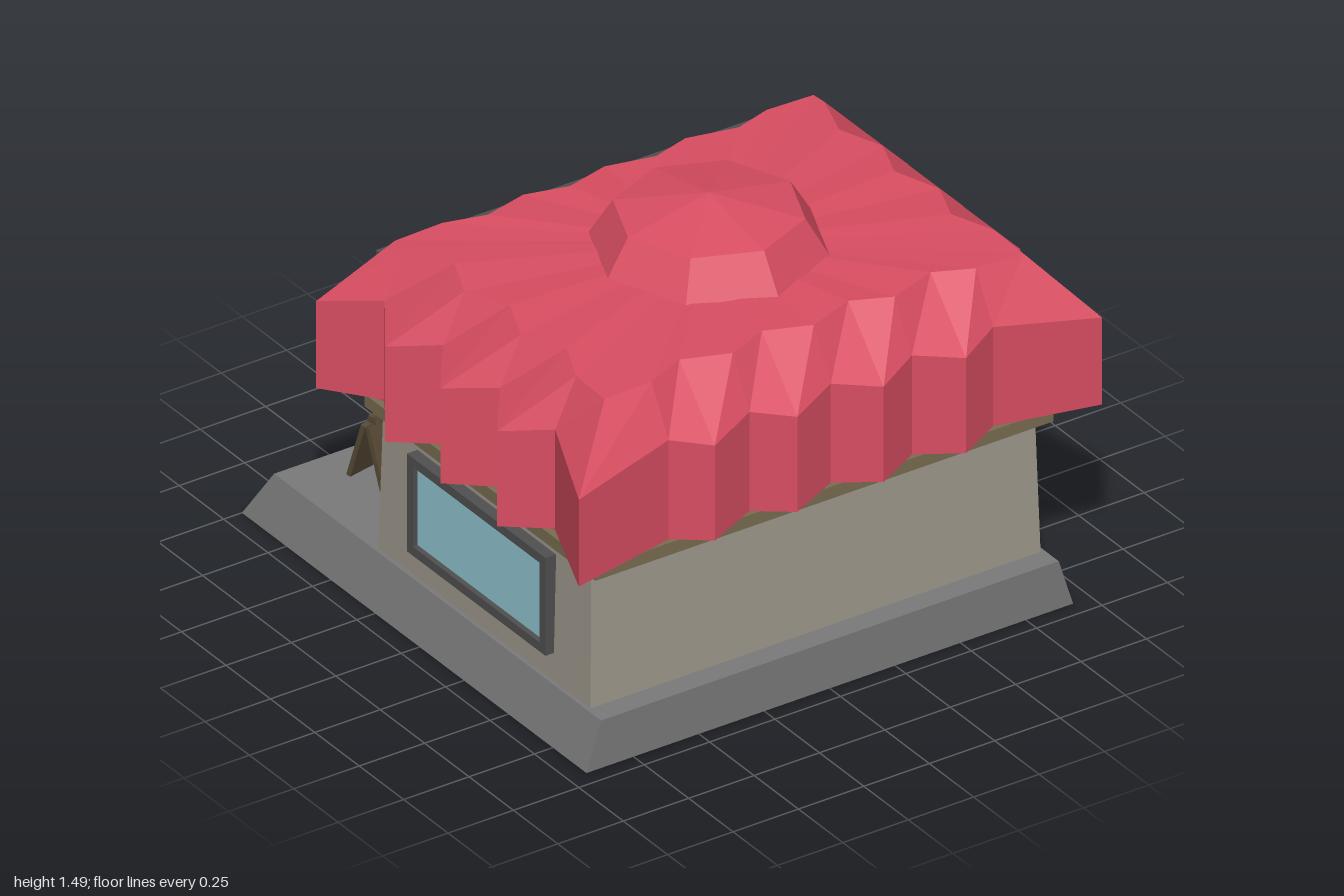
import * as THREE from 'three';

const mat = (name, color) => {
  const m = new THREE.MeshStandardMaterial({ color });
  m.name = name;
  return m;
};

export function createModel() {
  const red = mat('awning red', 0xda4e62), plaster = mat('plaster', 0x9f998c);
  const olive = mat('olive', 0x7a6e52), stone = mat('stone', 0x7a7a7a);
  const dark = mat('dark frame', 0x505050), glass = mat('glass', 0x92c8d4);
  const purple = mat('sign purple', 0x8a68b2), green = mat('leaf green', 0x5fba64);
  const brown = mat('board brown', 0x564a34), pale = mat('pale grey', 0xc6c4c0);
  const model = new THREE.Group();
  model.name = 'shop';

  // Helpers
  const flat = (g) => {
    const n = g.index ? g.toNonIndexed() : g;
    n.computeVertexNormals();
    return n;
  };
  const add = (parent, name, geo, material, x = 0, y = 0, z = 0) => {
    const m = new THREE.Mesh(flat(geo), material);
    m.name = name;
    m.position.set(x, y, z);
    parent.add(m);
    return m;
  };
  const group = (name, x = 0, y = 0, z = 0, ry = 0, parent = model) => {
    const g = new THREE.Group();
    g.name = name;
    g.position.set(x, y, z);
    g.rotation.y = ry;
    parent.add(g);
    return g;
  };
  const box = (w, h, d) => new THREE.BoxGeometry(w, h, d);
  const span = (parent, name, m, x0, x1, y0, y1, z0, z1) =>
    add(parent, name, box(x1 - x0, y1 - y0, z1 - z0), m, (x0 + x1) / 2, (y0 + y1) / 2, (z0 + z1) / 2);
  const blob = (parent, name, m, x, y, z, sx, sy, sz, w = 8, h = 6) => {
    const o = add(parent, name, new THREE.SphereGeometry(1, w, h), m, x, y, z);
    o.scale.set(sx, sy, sz);
    return o;
  };
  // Box whose top has its own half width and z range
  const tapered = (name, m, y0, y1, [bx, bz0, bz1], [tx, tz0, tz1]) => {
    const g = box(2, 1, 1), p = g.attributes.position;
    for (let i = 0; i < p.count; i++) {
      const up = p.getY(i) > 0, back = p.getZ(i) < 0;
      p.setXYZ(i, p.getX(i) * (up ? tx : bx), up ? y1 : y0,
        back ? (up ? tz0 : bz0) : (up ? tz1 : bz1));
    }
    return add(model, name, g, m);
  };
  // Rectangular frame with a hole, facing +z
  const frameGeo = (w, h, t, d) => {
    const rect = (S, a, b) => new S([[-a, -b], [a, -b], [a, b], [-a, b]].map((p) => new THREE.Vector2(...p)));
    const s = rect(THREE.Shape, w / 2, h / 2);
    s.holes.push(rect(THREE.Path, w / 2 - t, h / 2 - t));
    return new THREE.ExtrudeGeometry(s, { depth: d, bevelEnabled: false });
  };
  const windowUnit = (name, x, y, z, ry, w, h, t, d) => {
    const g = group(name, x, y, z, ry);
    add(g, 'windowFrame', frameGeo(w, h, t, d), dark);
    add(g, 'windowGlass', box(w - 2 * t, h - 2 * t, 0.008), glass, 0, 0, d * 0.5);
  };

  // Plinth, walls and trim
  tapered('plinth', stone, 0, 0.175, [0.93, -1, 0.94], [0.875, -0.9, 0.94]);
  tapered('walls', plaster, 0.175, 0.69, [0.86, -0.335, 0.86], [0.848, -0.325, 0.845]);
  span(model, 'trim', olive, -0.875, 0.875, 0.675, 0.72, -0.39, 0.91);

  // Pleated awning roof: each side is a run of corners, ridges and valleys
  const CZ = 0.26;
  const longRun = [[-0.62, 0], [-0.48, 1], [-0.31, 0], [-0.165, 1], [0, 0], [0.165, 1], [0.31, 0], [0.48, 1], [0.62, 0]];
  const shortRun = [[0.43, 0], [0.28, 1], [0.12, 0], [-0.04, 1], [-0.2, 0], [-0.35, 1], [-0.53, 0]];
  const rings = [[], [], [], []];
  const halfX = 1, halfZ = 0.74;
  const pleat = (ridge, place, depth, rimRidge, rimValley) => {
    rings[0].push(place(0.12, ridge ? 0.715 : 0.755));
    rings[1].push(place(ridge ? 0 : depth, ridge ? 0.735 : 0.76));
    rings[2].push(place(ridge ? 0 : depth, ridge ? 1.085 : 1.125));
    rings[3].push(place(ridge ? rimRidge : rimValley, ridge ? 1.303 : 1.295));
  };
  const corner = (sx, sz) => [[0.12, 0.12, 0.73], [0, 0, 0.74], [0, 0, 1.06], [0.2, 0.15, 1.29]]
    .forEach(([ix, iz, y], i) => rings[i].push([sx * (halfX - ix), y, CZ + sz * (halfZ - iz)]));
  for (const s of [1, -1]) {
    corner(-s, s);
    for (const [t, r] of longRun) pleat(r, (o, y) => [s * t, y, CZ + s * (halfZ - o)], 0.055, 0.2, 0.15);
    corner(s, s);
    const run = s > 0 ? shortRun : [...shortRun].reverse();
    for (const [t, r] of run) pleat(r, (o, y) => [s * (halfX - o), y, CZ + t], 0.12, 0.265, 0.2);
  }
  const tri = [];
  const n = rings[0].length;
  for (let j = 0; j < n; j++) {
    const k = (j + 1) % n;
    for (let i = 0; i < 3; i++) {
      const a = rings[i][j], b = rings[i][k], c = rings[i + 1][k], d = rings[i + 1][j];
      tri.push(...a, ...b, ...c, ...a, ...c, ...d);
    }
    tri.push(...rings[3][j], ...rings[3][k], 0, 1.308, CZ);
  }
  const roof = new THREE.BufferGeometry();
  roof.setAttribute('position', new THREE.Float32BufferAttribute(tri, 3));
  add(model, 'awningRoof', roof, red);

  // Octagonal cap on the roof
  add(model, 'roofCap', new THREE.CylinderGeometry(0.31, 0.393, 0.135, 8, 1, true), red, 0, 1.362, CZ);
  add(model, 'roofCapTop', new THREE.ConeGeometry(0.31, 0.062, 8, 1, true), red, 0, 1.46, CZ);

  // Windows on both sides and beside the door
  for (const s of [1, -1]) {
    windowUnit('sideWindow', s * 0.845, 0.455, 0.26, s * Math.PI / 2, 0.78, 0.36, 0.033, 0.045);
    windowUnit('shopWindow', s * 0.545, 0.435, -0.325, Math.PI, 0.45, 0.37, 0.04, 0.055);
  }

  // Double door
  const door = group('doubleDoor', 0, 0, -0.325, Math.PI);
  add(door, 'doorFrame', frameGeo(0.56, 0.49, 0.035, 0.105), dark, 0, 0.415, 0);
  for (const s of [1, -1]) {
    add(door, 'doorLeaf', frameGeo(0.243, 0.42, 0.04, 0.045), dark, s * 0.123, 0.415, 0);
    add(door, 'doorGlass', box(0.165, 0.342, 0.008), glass, s * 0.123, 0.415, 0.025);
  }
  span(model, 'doormat', dark, -0.32, 0.32, 0.17, 0.183, -0.67, -0.34);

  // Blank sign board
  const sign = group('signBoard', 0, 0.97, -0.38, Math.PI);
  add(sign, 'signFrame', frameGeo(1.5, 0.36, 0.035, 0.13), dark);
  add(sign, 'signBack', box(1.44, 0.3, 0.1), dark, 0, 0, 0.05);
  add(sign, 'signPanel', box(1.43, 0.29, 0.008), purple, 0, 0, 0.106);

  // Post with flag
  const post = group('flagPost', 0.72, 0.175, -0.72);
  add(post, 'postFoot', new THREE.CylinderGeometry(0.06, 0.083, 0.028, 10), plaster, 0, 0.014, 0);
  add(post, 'postPole', new THREE.CylinderGeometry(0.03, 0.034, 0.42, 10), plaster, 0, 0.22, 0);
  add(post, 'postTip', new THREE.CylinderGeometry(0.016, 0.03, 0.016, 10), plaster, 0, 0.438, 0);
  add(post, 'flag', box(0.225, 0.16, 0.004), pale, 0.1375, 0.335, 0);

  // Bushes: x, z, radius, height
  for (const [x, z, r, h] of [[0.42, -0.5, 0.115, 0.165], [0.51, -0.61, 0.09, 0.115], [0.61, -0.47, 0.09, 0.11],
    [0.4, -0.58, 0.07, 0.09], [-0.45, -0.49, 0.115, 0.13], [-0.62, -0.47, 0.09, 0.1]]) {
    blob(model, 'bush', green, x, 0.175 + h * 0.42, z, r, h * 0.58, r, 8, 5);
  }

  // Folding pavement board
  const board = group('pavementBoard', -0.575, 0.175, -0.705, 0.2);
  for (const s of [1, -1]) {
    add(board, 'boardPanel', box(0.2, 0.22, 0.018), brown, 0, 0.105, s * 0.042).rotation.x = -s * 0.3;
    add(board, 'boardTop', box(0.14, 0.025, 0.018), brown, 0, 0.222, s * 0.009).rotation.x = -s * 0.3;
  }

  // Seated figure in a cloak and a tilted hat
  const figure = group('seatedFigure', -0.25, 0.175, -0.62);
  blob(figure, 'cloak', olive, -0.01, 0.07, -0.01, 0.125, 0.125, 0.105);
  blob(figure, 'head', olive, 0.01, 0.16, 0, 0.065, 0.07, 0.065);
  blob(figure, 'face', pale, 0.05, 0.125, -0.075, 0.04, 0.05, 0.04);
  for (const s of [1, -1]) blob(figure, 'eye', dark, 0.055 + s * 0.02, 0.14, -0.108, 0.012, 0.014, 0.01, 6, 4);
  const hat = group('hat', 0.015, 0.21, 0.02, 0, figure);
  hat.rotation.x = -0.25;
  add(hat, 'hatBrim', new THREE.CylinderGeometry(0.095, 0.105, 0.026, 10), dark);
  add(hat, 'hatCrown', new THREE.CylinderGeometry(0.045, 0.058, 0.07, 8), dark, 0, 0.045, 0);

  // Small animal on the mat
  const pet = group('smallAnimal', 0.07, 0.18, -0.6, -0.8);
  blob(pet, 'petBody', plaster, 0, 0.04, 0, 0.065, 0.036, 0.036);
  blob(pet, 'petHead', pale, -0.085, 0.065, 0, 0.032, 0.032, 0.032);
  for (const s of [1, -1]) {
    add(pet, 'petEar', new THREE.ConeGeometry(0.012, 0.025, 4), dark, -0.085, 0.098, s * 0.018);
    blob(pet, 'petEye', dark, -0.109, 0.072, s * 0.013, 0.008, 0.008, 0.008, 6, 4);
    for (const x of [-0.04, 0.04]) add(pet, 'petLeg', new THREE.CylinderGeometry(0.01, 0.01, 0.04, 6), plaster, x, 0.018, s * 0.02);
  }
  const tail = new THREE.CatmullRomCurve3([[0.05, 0.04, 0], [0.09, 0.03, 0.01], [0.12, 0.04, -0.015], [0.125, 0.05, -0.04]]
    .map((p) => new THREE.Vector3(...p)));
  add(pet, 'petTail', new THREE.TubeGeometry(tail, 8, 0.009, 5), plaster);

  return model;
}
